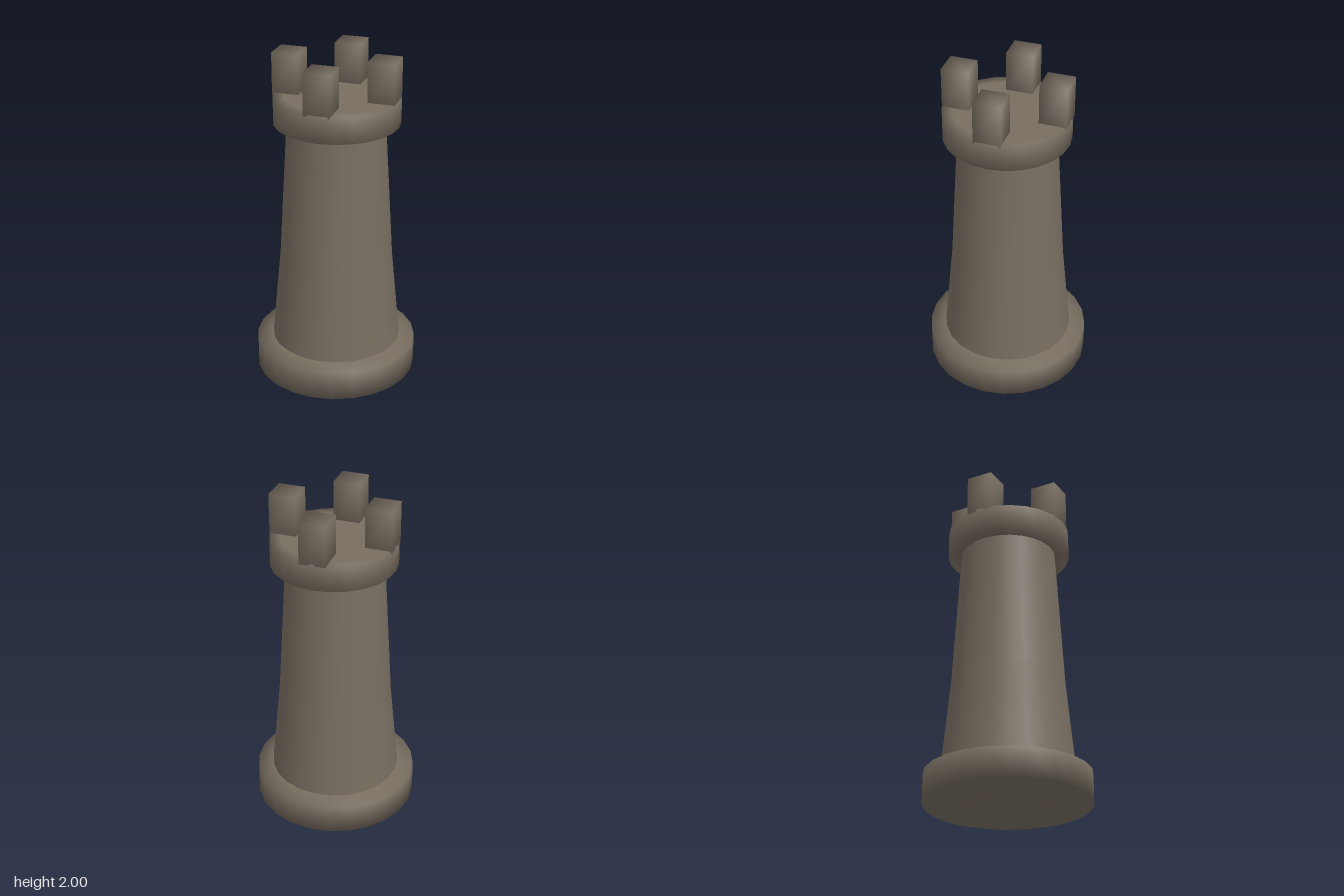
import * as THREE from 'three';
import { mergeVertices } from 'three/addons/utils/BufferGeometryUtils.js';

const stone = new THREE.MeshStandardMaterial({ color: 0x786e61 });
stone.name = 'weathered stone';

// Smooth round section from [radius, height] pairs, bottom to top
function turned(name, profile) {
  const points = profile.map(([r, y]) => new THREE.Vector2(r, y));
  const mesh = new THREE.Mesh(new THREE.LatheGeometry(points, 24), stone);
  mesh.name = name;
  return mesh;
}

// Box whose corners share normals, so it shades softly
function softBox(w, h, d) {
  const box = new THREE.BoxGeometry(w, h, d);
  box.deleteAttribute('normal');
  box.deleteAttribute('uv');
  const merged = mergeVertices(box);
  merged.computeVertexNormals();
  return merged;
}

export function createModel() {
  const tower = new THREE.Group();
  tower.name = 'tower';

  // Wide foot with a shallow sloping top
  tower.add(turned('base', [[0, 0], [0.49, 0], [0.49, 0.18], [0.39, 0.2]]));

  // Tapering shaft, flaring slightly more toward the foot
  const shaft = turned('shaft', [[0.393, 0.2], [0.34, 0.75], [0.29, 1.6]]);
  shaft.position.x = 0.003;
  tower.add(shaft);

  // Overhanging platform
  const platform = turned('platform', [
    [0.28, 1.6], [0.373, 1.6], [0.373, 1.76], [0.31, 1.761], [0, 1.761],
  ]);
  platform.position.x = 0.008;
  tower.add(platform);

  // Four battlement blocks
  const block = softBox(0.16, 0.25, 0.162);
  for (let i = 0; i < 4; i++) {
    const a = (i * Math.PI) / 2;
    const merlon = new THREE.Mesh(block, stone);
    merlon.name = 'battlement' + (i + 1);
    merlon.position.set(0.005 + 0.287 * Math.cos(a), 1.875, -0.003 + 0.287 * Math.sin(a));
    tower.add(merlon);
  }
  return tower;
}
